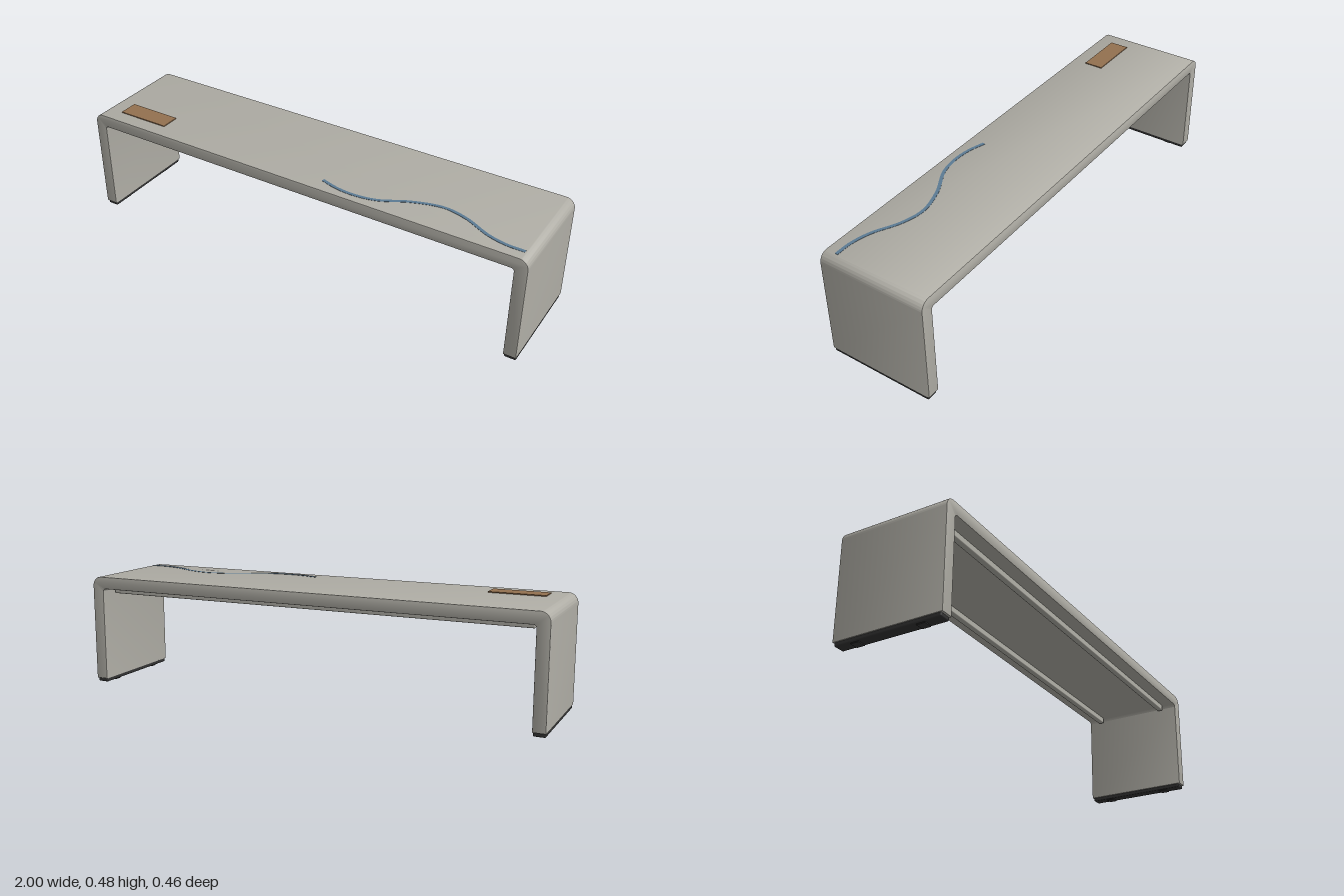
import * as THREE from 'three';
import { toCreasedNormals } from 'three/addons/utils/BufferGeometryUtils.js';
import { RoundedBoxGeometry } from 'three/addons/geometries/RoundedBoxGeometry.js';

const concrete = new THREE.MeshStandardMaterial({ name: 'concrete grey', color: 0xb0aea6 });
const rubber = new THREE.MeshStandardMaterial({ name: 'dark rubber', color: 0x333333 });
const wood = new THREE.MeshStandardMaterial({ name: 'brown wood', color: 0x93704f });
const blue = new THREE.MeshStandardMaterial({ name: 'slate blue', color: 0x5b7a93 });

const TOP = 0.472, BASE = 0.02, DEPTH = 0.46, WALL = 0.052;

function add(parent, name, geometry, material, x = 0, y = 0, z = 0) {
  const mesh = new THREE.Mesh(geometry, material);
  mesh.name = name;
  mesh.position.set(x, y, z);
  parent.add(mesh);
  return mesh;
}

// One-piece folded slab: seat and both legs, with rounded bends and a tiny edge bevel
function bodyGeometry() {
  const b = 0.003, R = 0.037, r = 0.015;
  const outer = 1 - b, top = TOP - b, inner = 1 - WALL + b, under = TOP - WALL + b, base = BASE + b;
  const s = new THREE.Shape();
  s.moveTo(-outer, base);
  s.lineTo(-inner, base);
  s.lineTo(-inner, under - r);
  s.absarc(-inner + r, under - r, r, Math.PI, Math.PI / 2, true);
  s.lineTo(inner - r, under);
  s.absarc(inner - r, under - r, r, Math.PI / 2, 0, true);
  s.lineTo(inner, base);
  s.lineTo(outer, base);
  s.lineTo(outer, top - R);
  s.absarc(outer - R, top - R, R, 0, Math.PI / 2, false);
  s.lineTo(-outer + R, top);
  s.absarc(-outer + R, top - R, R, Math.PI / 2, Math.PI, false);
  s.closePath();
  const g = new THREE.ExtrudeGeometry(s, {
    depth: DEPTH - 2 * b, bevelThickness: b, bevelSize: b, bevelSegments: 2, curveSegments: 12,
  });
  g.translate(0, 0, -DEPTH / 2 + b);
  return toCreasedNormals(g, 0.5);
}

// Flat ribbon of constant width following a curve on the seat
function ribbonGeometry(points, width, thickness) {
  const curve = new THREE.CatmullRomCurve3(points.map(([x, z]) => new THREE.Vector3(x, 0, z)));
  const left = [], right = [];
  for (let i = 0; i <= 80; i++) {
    const p = curve.getPoint(i / 80), t = curve.getTangent(i / 80);
    const nx = -t.z * width / 2, nz = t.x * width / 2;
    left.push(new THREE.Vector2(p.x + nx, -(p.z + nz)));
    right.unshift(new THREE.Vector2(p.x - nx, -(p.z - nz)));
  }
  const g = new THREE.ExtrudeGeometry(new THREE.Shape([...left, ...right]), {
    depth: thickness, bevelEnabled: false,
  });
  return g.rotateX(-Math.PI / 2);
}

export function createModel() {
  const bench = new THREE.Group();
  bench.name = 'bench';

  add(bench, 'benchBody', bodyGeometry(), concrete);

  // Stiffening rails under the seat
  for (const z of [-0.16, 0.16]) {
    add(bench, 'underRail', new RoundedBoxGeometry(1.86, 0.03, 0.026, 2, 0.005), concrete, 0, 0.41, z);
  }

  // Rubber strip and two small pads under each leg
  for (const side of [-1, 1]) {
    const foot = new THREE.Group();
    foot.name = side > 0 ? 'leftFoot' : 'rightFoot';
    foot.position.x = side * (1 - WALL / 2);
    bench.add(foot);
    add(foot, 'footStrip', new RoundedBoxGeometry(0.048, 0.017, 0.446, 3, 0.005), rubber, 0, 0.0125, 0);
    for (const z of [-0.138, 0.138]) {
      add(foot, 'footPad', new THREE.BoxGeometry(0.035, 0.006, 0.035), rubber, 0, 0.003, z);
    }
  }

  // Plain inlaid plate on the seat
  add(bench, 'seatPlate', new THREE.BoxGeometry(0.232, 0.006, 0.082), wood, -0.79, TOP + 0.001, 0.126);

  // Wavy inlay line running to the left end
  const wave = [[0.115, 0.163], [0.19, 0.184], [0.27, 0.19], [0.36, 0.175], [0.48, 0.115],
    [0.6, 0.085], [0.7, 0.105], [0.81, 0.158], [0.89, 0.178], [0.965, 0.18]];
  add(bench, 'waveInlay', ribbonGeometry(wave, 0.014, 0.002), blue, 0, TOP - 0.001, 0);

  return bench;
}
